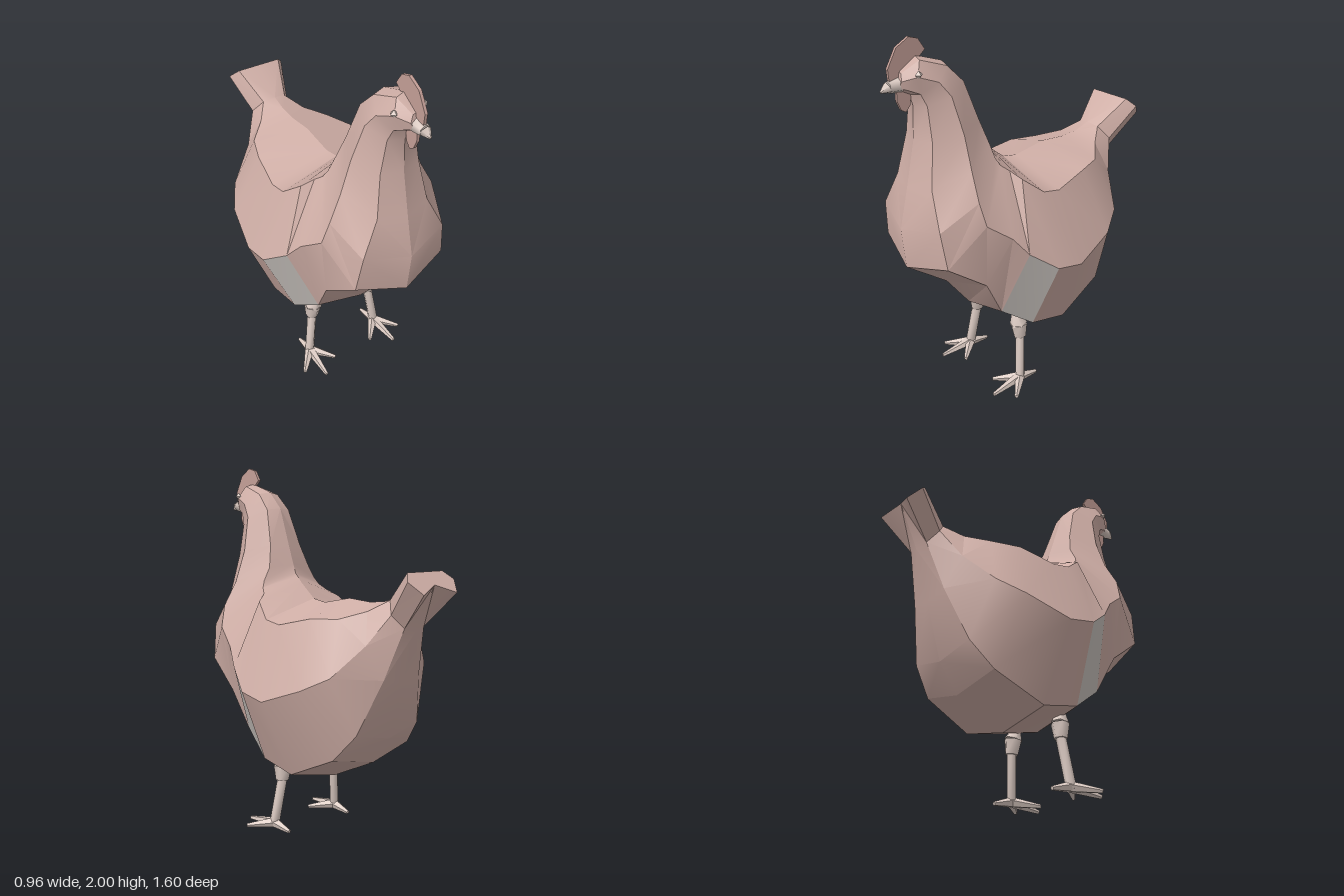
import * as THREE from 'three';
import { toCreasedNormals } from 'three/addons/utils/BufferGeometryUtils.js';

const paint = (color) => new THREE.MeshStandardMaterial({ color });
const PLUMAGE = paint(0xcfaea6), FLANK = paint(0xcac4bf), SKIN = paint(0xdccbc3), COMB = paint(0xc49f97);

// Half outlines of a ring: [share of half width, share of the way from back to belly]
const TAIL = [[0, 0], [0.75, 0], [1, 0.4], [0.72, 1], [0, 0.6]];
const BODY = [[0, 0], [0.69, 0.1], [1, 0.5], [0.65, 0.93], [0, 1]];
const CHEST = [[0, 0], [0.6, 0.1], [1, 0.5], [0.78, 0.87], [0, 1]];
const NECK = [[0, 0], [0.6, 0.08], [1, 0.5], [0.62, 0.9], [0, 1]];

// Rings from tail to beak: back z, y, belly z, y, half width, outline
const RINGS = [
  [-0.70, 1.46, -0.80, 1.36, 0.17, TAIL],
  [-0.53, 1.33, -0.65, 1.17, 0.115, NECK],
  [-0.44, 1.30, -0.57, 0.90, 0.20, BODY],
  [-0.34, 1.29, -0.48, 0.60, 0.35, BODY],
  [-0.19, 1.30, -0.37, 0.45, 0.43, BODY],
  [0.00, 1.265, -0.08, 0.315, 0.48, BODY],
  [0.09, 1.28, 0.15, 0.36, 0.48, BODY],
  [0.19, 1.36, 0.34, 0.49, 0.42, BODY],
  [0.21, 1.38, 0.48, 0.67, 0.385, CHEST],
  [0.225, 1.395, 0.72, 0.84, 0.345, CHEST],
  [0.24, 1.41, 0.74, 1.06, 0.31, CHEST],
  [0.26, 1.46, 0.69, 1.27, 0.24, NECK],
  [0.30, 1.57, 0.64, 1.50, 0.18, NECK],
  [0.37, 1.77, 0.63, 1.67, 0.13, NECK],
  [0.46, 1.86, 0.65, 1.73, 0.112, NECK],
  [0.61, 1.91, 0.69, 1.75, 0.085, NECK],
  [0.70, 1.85, 0.72, 1.77, 0.04, NECK],
];

function ringPoints([zd, yd, zv, yv, half, outline]) {
  const at = ([w, t], side) =>
    new THREE.Vector3(side * w * half, yd + (yv - yd) * t, zd + (zv - zd) * t);
  const left = outline.map((p) => at(p, 1));
  const right = outline.slice(1, -1).reverse().map((p) => at(p, -1));
  return [...left, ...right];
}

function facetMesh(points, material, name) {
  const geometry = new THREE.BufferGeometry().setFromPoints(points);
  const mesh = new THREE.Mesh(toCreasedNormals(geometry, 0.42), material);
  mesh.name = name;
  return mesh;
}

// Tail, body, neck and head as one skin, with a paler patch on each flank
function buildBody() {
  const rings = RINGS.map(ringPoints);
  const n = rings[0].length;
  const skin = [], flank = [];
  for (let i = 0; i < rings.length - 1; i++) {
    for (let k = 0; k < n; k++) {
      const k2 = (k + 1) % n;
      const a = rings[i][k], b = rings[i][k2], c = rings[i + 1][k2], d = rings[i + 1][k];
      const pale = i === 6 && (k === 2 || k === 5);
      // Split mirrored quads along mirrored diagonals
      const tris = k < n / 2 ? [a, d, b, b, d, c] : [a, d, c, a, c, b];
      (pale ? flank : skin).push(...tris);
    }
  }
  const cap = (ring, flip) => {
    const mid = ring.reduce((s, p) => s.add(p), new THREE.Vector3()).divideScalar(n);
    ring.forEach((p, k) => {
      const q = ring[(k + 1) % n];
      skin.push(mid, flip ? q : p, flip ? p : q);
    });
  };
  cap(rings[0], false);
  cap(rings[rings.length - 1], true);
  const body = new THREE.Group();
  body.name = 'body';
  body.add(facetMesh(skin, PLUMAGE, 'plumage'), facetMesh(flank, FLANK, 'flankPatches'));
  return body;
}

// Thin plate standing on the centre line, outlined by z, y pairs
function plate(name, outline, thickness) {
  const shape = new THREE.Shape(outline.map(([z, y]) => new THREE.Vector2(-z, y)));
  const geometry = new THREE.ExtrudeGeometry(shape, { depth: thickness, bevelEnabled: false });
  geometry.translate(0, 0, -thickness / 2).rotateY(Math.PI / 2);
  const mesh = new THREE.Mesh(geometry, COMB);
  mesh.name = name;
  return mesh;
}

// Tapered rod between two points
function rod(name, from, to, r0, r1, sides = 6) {
  const a = new THREE.Vector3(...from), b = new THREE.Vector3(...to);
  const dir = b.clone().sub(a);
  const geometry = new THREE.CylinderGeometry(r1, r0, dir.length(), sides);
  const mesh = new THREE.Mesh(toCreasedNormals(geometry, 1.1), SKIN);
  mesh.position.copy(a).add(b).multiplyScalar(0.5);
  mesh.quaternion.setFromUnitVectors(new THREE.Vector3(0, 1, 0), dir.normalize());
  mesh.name = name;
  return mesh;
}

function buildLeg(side) {
  const leg = new THREE.Group();
  leg.name = side > 0 ? 'leftLeg' : 'rightLeg';
  const add = (name, from, to, ...rest) =>
    leg.add(rod(name, [from[0] * side, from[1], from[2]], [to[0] * side, to[1], to[2]], ...rest));
  add('thigh', [0.18, 0.43, 0.16], [0.188, 0.36, 0.142], 0.02, 0.05);
  add('thigh', [0.188, 0.36, 0.142], [0.195, 0.28, 0.138], 0.05, 0.036);
  add('shin', [0.194, 0.29, 0.138], [0.23, 0.035, 0.165], 0.027, 0.027);
  // Three front toes and one back toe
  for (const [x, z] of [[0.335, 0.28], [0.24, 0.362], [0.125, 0.28], [0.225, 0.045]]) {
    add('toe', [0.228, 0.035, 0.165], [x, 0.012, z], 0.029, 0.011, 5);
  }
  return leg;
}

export function createModel() {
  const model = new THREE.Group();
  model.name = 'hen';
  model.add(buildBody());

  // Comb and wattle
  model.add(plate('comb', [[0.755, 1.80], [0.76, 1.87], [0.71, 1.96], [0.64, 2.0], [0.59, 1.985],
    [0.555, 1.93], [0.60, 1.89], [0.69, 1.83]], 0.016));
  model.add(plate('wattle', [[0.72, 1.78], [0.72, 1.71], [0.70, 1.665], [0.675, 1.65],
    [0.65, 1.68], [0.64, 1.75]], 0.016));

  // Beak
  model.add(rod('beak', [0, 1.79, 0.69], [0, 1.785, 0.76], 0.042, 0.03));
  model.add(rod('beakTip', [0, 1.785, 0.76], [0, 1.768, 0.8], 0.03, 0.006));

  // Eyes and legs
  for (const side of [1, -1]) {
    const eye = new THREE.Mesh(new THREE.OctahedronGeometry(0.02), SKIN);
    eye.position.set(side * 0.083, 1.84, 0.645);
    eye.name = side > 0 ? 'leftEye' : 'rightEye';
    model.add(eye, buildLeg(side));
  }
  return model;
}
